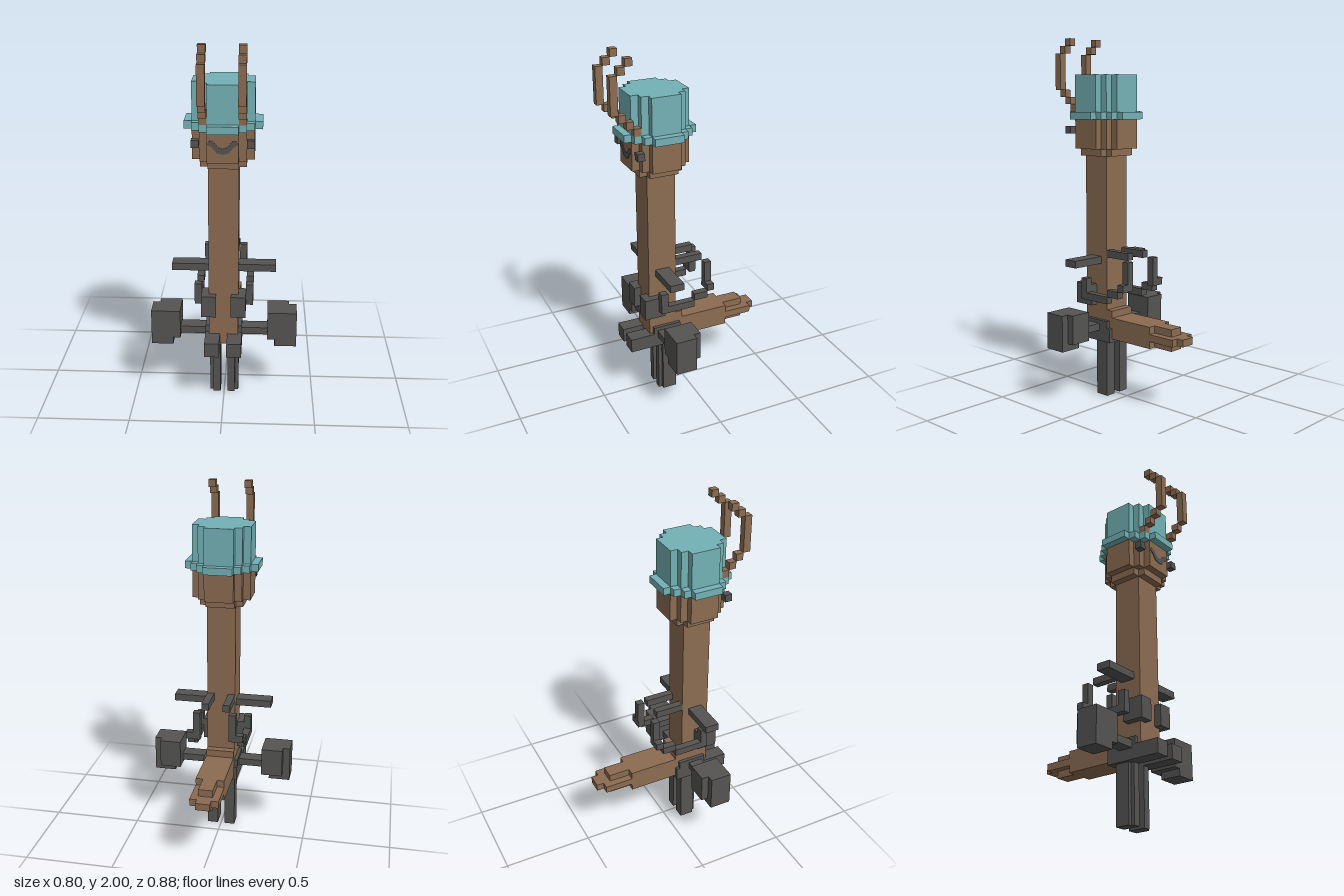
import * as THREE from 'three';

const brown = new THREE.MeshStandardMaterial({ color: 0x8c6c52 });
brown.name = 'brown';
const teal = new THREE.MeshStandardMaterial({ color: 0x74b2b6 });
teal.name = 'teal';
const charcoal = new THREE.MeshStandardMaterial({ color: 0x555453 });
charcoal.name = 'charcoal';

const U = 0.04; // one block

// Box given by its lower and upper bounds on each axis
function box(parent, name, mat, [x0, x1], [y0, y1], [z0, z1]) {
  const mesh = new THREE.Mesh(new THREE.BoxGeometry(x1 - x0, y1 - y0, z1 - z0), mat);
  mesh.position.set((x0 + x1) / 2, (y0 + y1) / 2, (z0 + z1) / 2);
  mesh.name = name;
  parent.add(mesh);
  return mesh;
}

// Stair-stepped round slab centred on the neck axis
function blockDisc(parent, name, mat, radius, y0, y1) {
  const quarter = [];
  for (let a = radius, b = 2 * U; a > 2 * U - 0.001; a -= U, b += U) {
    quarter.push([a, b]);
    if (a - U > 2 * U - 0.001) quarter.push([a - U, b]);
  }
  const back = [...quarter].reverse();
  const outline = [
    ...quarter,
    ...back.map(([x, y]) => [-x, y]),
    ...quarter.map(([x, y]) => [-x, -y]),
    ...back.map(([x, y]) => [x, -y]),
  ].map(([x, y]) => new THREE.Vector2(x, y));
  const geo = new THREE.ExtrudeGeometry(new THREE.Shape(outline), { depth: y1 - y0, bevelEnabled: false });
  geo.rotateX(-Math.PI / 2);
  const mesh = new THREE.Mesh(geo, mat);
  mesh.position.set(0, y0, 0.16);
  mesh.name = name;
  parent.add(mesh);
}

export function createModel() {
  const model = new THREE.Group();
  model.name = 'blockCreature';

  // Long body, head and hat
  box(model, 'body', brown, [-0.08, 0.08], [0.34, 1.36], [0.08, 0.24]);
  blockDisc(model, 'chin', brown, 0.12, 1.36, 1.4);
  blockDisc(model, 'head', brown, 0.16, 1.4, 1.56);
  blockDisc(model, 'hatBrim', teal, 0.2, 1.56, 1.6);
  blockDisc(model, 'hatCrown', teal, 0.16, 1.6, 1.8);

  // Smile, a thin plate on the face
  const smile = [[-0.08, 1.5], [-0.065, 1.52], [-0.045, 1.515], [-0.022, 1.485], [0, 1.478]];
  const lower = [[0, 1.448], [-0.03, 1.455], [-0.055, 1.487]];
  const half = [...lower, ...smile];
  const mirrored = half.slice(1, -1).reverse().map(([x, y]) => [-x, y]);
  const mouthShape = new THREE.Shape([...half, ...mirrored].map(([x, y]) => new THREE.Vector2(x, y)));
  const mouth = new THREE.Mesh(new THREE.ExtrudeGeometry(mouthShape, { depth: 0.004, bevelEnabled: false }), charcoal);
  mouth.position.z = 0.319;
  mouth.name = 'mouth';
  model.add(mouth);

  // Tail: thicker middle layer, shorter layers above and below
  const tail = new THREE.Group();
  tail.name = 'tail';
  model.add(tail);
  for (const [y, wide, tip] of [[0.34, -0.24, -0.36], [0.38, -0.4, -0.44], [0.42, -0.24, -0.36]]) {
    box(tail, 'tailLayer', brown, [-0.08, 0.08], [y, y + U], [wide, 0.08]);
    box(tail, 'tailTip', brown, [-0.04, 0.04], [y, y + U], [tip, wide]);
  }
  box(tail, 'tailBase', brown, [-0.08, 0.08], [0.46, 0.5], [0.04, 0.08]);

  // Paired parts, listed for the +x side and mirrored
  const pairs = [
    ['eye', charcoal, [0.12, 0.16], [1.48, 1.52], [0.28, 0.32]],
    // antenna
    ['antenna', brown, [0.08, 0.12], [1.6, 1.64], [0.28, 0.32]],
    ['antenna', brown, [0.08, 0.12], [1.64, 1.68], [0.32, 0.36]],
    ['antenna', brown, [0.08, 0.12], [1.68, 1.72], [0.36, 0.4]],
    ['antenna', brown, [0.08, 0.12], [1.72, 1.92], [0.4, 0.44]],
    ['antenna', brown, [0.08, 0.12], [1.92, 1.96], [0.36, 0.4]],
    ['antenna', brown, [0.08, 0.12], [1.96, 2.0], [0.32, 0.36]],
    // straight upper arm
    ['upperArm', charcoal, [0.08, 0.28], [0.76, 0.8], [0.12, 0.2]],
    // bent limb looping behind the body to a block on the chest
    ['bentLimbTop', charcoal, [0.04, 0.08], [0.8, 0.84], [-0.08, 0.08]],
    ['bentLimbPost', charcoal, [0.08, 0.12], [0.64, 0.8], [-0.12, -0.08]],
    ['bentLimbElbow', charcoal, [0.12, 0.16], [0.64, 0.68], [-0.12, -0.08]],
    ['bentLimbLower', charcoal, [0.12, 0.16], [0.6, 0.64], [-0.08, 0]],
    ['bentLimbFore', charcoal, [0.12, 0.16], [0.56, 0.6], [0, 0.16]],
    ['chestWrist', charcoal, [0.12, 0.16], [0.56, 0.68], [0.16, 0.2]],
    ['chestHand', charcoal, [0.04, 0.12], [0.52, 0.64], [0.16, 0.28]],
    // low arm with a heavy block hand
    ['lowerArm', charcoal, [0.08, 0.24], [0.38, 0.42], [0.12, 0.2]],
    ['handInner', charcoal, [0.24, 0.36], [0.36, 0.52], [0.06, 0.22]],
    ['handOuter', charcoal, [0.36, 0.4], [0.36, 0.52], [0.1, 0.22]],
    ['handBase', charcoal, [0.28, 0.4], [0.32, 0.36], [0.1, 0.22]],
    // thigh, hip and standing leg
    ['thigh', charcoal, [0.02, 0.1], [0.32, 0.4], [0.04, 0.36]],
    ['hip', charcoal, [0.08, 0.1], [0.4, 0.44], [0.06, 0.22]],
    ['leg', charcoal, [0.02, 0.06], [0, 0.32], [0.08, 0.18]],
    ['legOuter', charcoal, [0.06, 0.08], [0, 0.32], [0.08, 0.16]],
  ];
  for (const [name, mat, [x0, x1], y, z] of pairs) {
    box(model, name + 'Left', mat, [x0, x1], y, z);
    box(model, name + 'Right', mat, [-x1, -x0], y, z);
  }
  return model;
}
